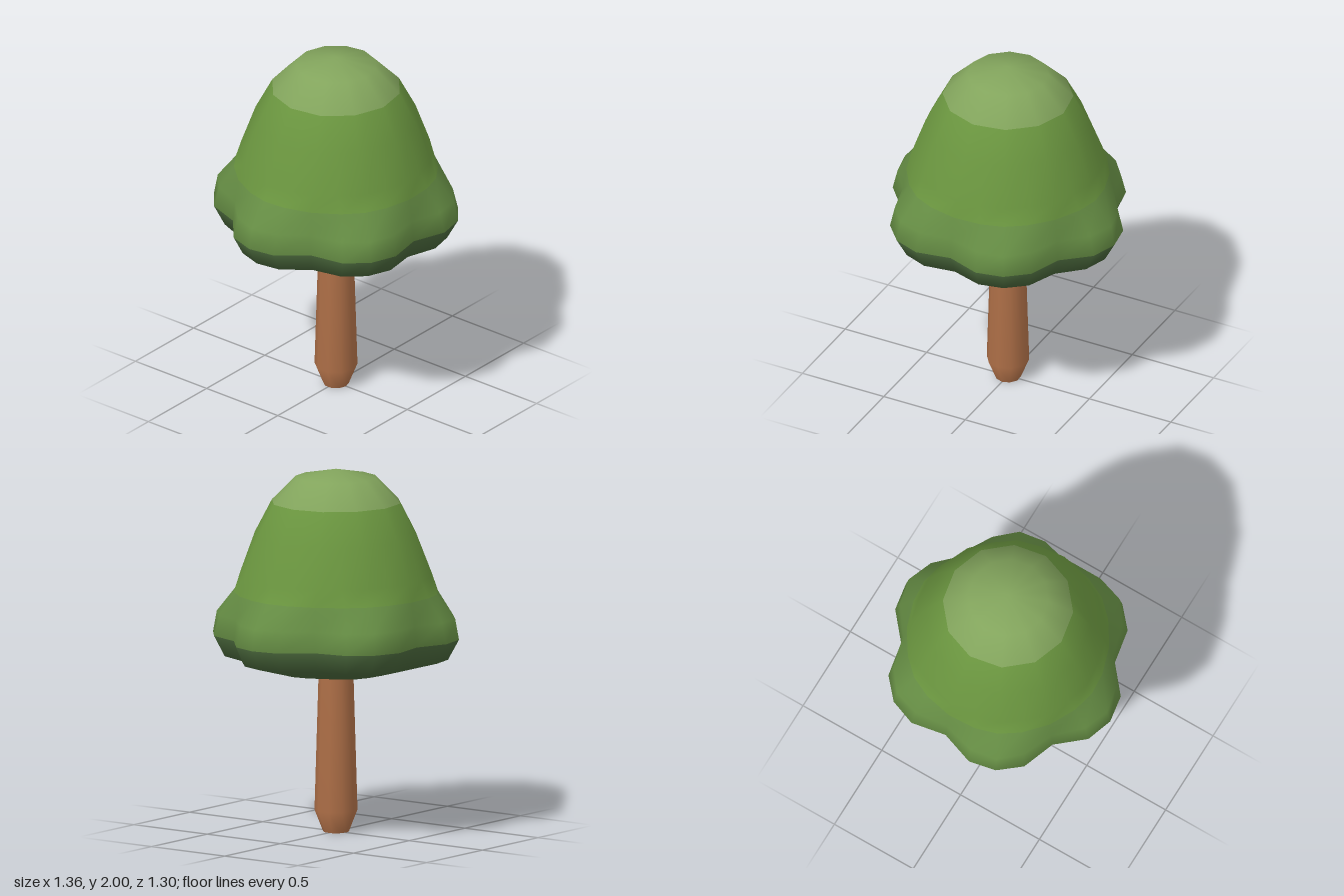
import * as THREE from 'three';

const LOBES = 6;
const SEGMENTS = LOBES * 4;
const START = THREE.MathUtils.degToRad(4.5);

// Canopy rings from bottom to top: [y, radius at lobe tip, at lobe side, at notch]
const RINGS = [
  [0.875, 0, 0, 0],
  [0.895, 0.35, 0.34, 0.33],
  [0.968, 0.622, 0.605, 0.54],
  [1.08, 0.683, 0.663, 0.584],
  [1.195, 0.662, 0.635, 0.573],
  [1.325, 0.56, 0.555, 0.553],
  [1.42, 0.53, 0.522, 0.53],
  [1.64, 0.45, 0.437, 0.45],
  [1.82, 0.356, 0.344, 0.356],
  [1.955, 0.222, 0.214, 0.222],
  [2.0, 0, 0, 0],
];

// Bands of the canopy: [name, first ring, last ring, colour]
const BANDS = [
  ['canopyUnderside', 0, 3, 0x48653a],
  ['canopyLobes', 3, 5, 0x678f45],
  ['canopyCrown', 5, 8, 0x6a953f],
  ['canopyCap', 8, 10, 0x82a45c],
];

function canopyVertices() {
  const positions = [];
  RINGS.forEach(([y, tip, side, notch], i) => {
    const lobed = i < 6;
    for (let j = 0; j < SEGMENTS; j++) {
      const r = [tip, side, notch, side][j % 4];
      // the side points of a lobe sit closer to its tip than to the notch
      const shift = lobed ? [0, -1.8, 0, 1.8][j % 4] : 0;
      const a = START + (j / SEGMENTS) * Math.PI * 2 + THREE.MathUtils.degToRad(shift);
      positions.push(r * Math.cos(a), y, r * Math.sin(a));
    }
  });
  return positions;
}

function bandIndex(from, to) {
  const last = RINGS.length - 1;
  // each pole is one shared vertex
  const at = (i, j) => i * SEGMENTS + (i === 0 || i === last ? 0 : j % SEGMENTS);
  const index = [];
  for (let i = from; i < to; i++) {
    for (let j = 0; j < SEGMENTS; j++) {
      const a = at(i, j), b = at(i, j + 1), c = at(i + 1, j), d = at(i + 1, j + 1);
      if (i > 0) index.push(a, c, b);
      if (i + 1 < last) index.push(b, c, d);
      else if (i === 0) index.push(a, c, d);
    }
  }
  return index;
}

function createCanopy() {
  const group = new THREE.Group();
  group.name = 'canopy';
  // normals are found on the whole surface so shading flows across the bands
  const whole = new THREE.BufferGeometry();
  whole.setAttribute('position', new THREE.Float32BufferAttribute(canopyVertices(), 3));
  whole.setIndex(bandIndex(0, RINGS.length - 1));
  whole.computeVertexNormals();
  for (const [name, from, to, color] of BANDS) {
    const geometry = whole.clone();
    geometry.setIndex(bandIndex(from, to));
    const mesh = new THREE.Mesh(geometry, new THREE.MeshStandardMaterial({ color }));
    mesh.name = name;
    group.add(mesh);
  }
  return group;
}

function createTrunk() {
  const group = new THREE.Group();
  group.name = 'trunk';
  const material = new THREE.MeshStandardMaterial({ color: 0xae6f47 });
  // stem tapering upward, with a narrowed foot
  const profile = [[0.07, 0], [0.117, 0.12], [0.094, 0.9]].map(([r, y]) => new THREE.Vector2(r, y));
  const stem = new THREE.Mesh(new THREE.LatheGeometry(profile, 10), material);
  stem.name = 'trunkStem';
  // flat base
  const base = new THREE.Mesh(new THREE.CircleGeometry(0.07, 10).rotateZ(Math.PI / 2).rotateX(Math.PI / 2), material);
  base.name = 'trunkBase';
  group.add(stem, base);
  return group;
}

export function createModel() {
  const model = new THREE.Group();
  model.name = 'tree';
  model.add(createTrunk(), createCanopy());
  return model;
}
